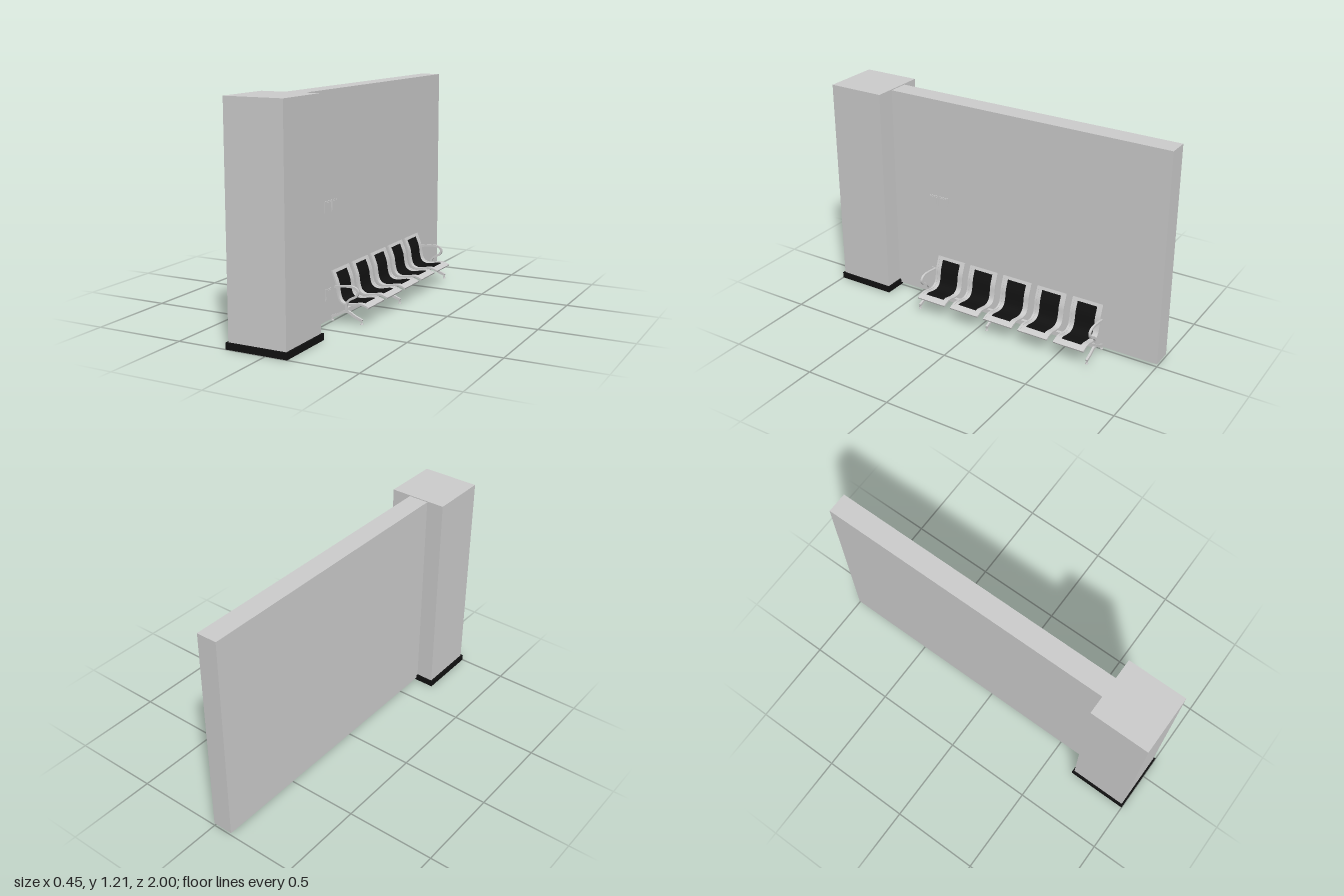
import * as THREE from 'three';
import { toCreasedNormals } from 'three/addons/utils/BufferGeometryUtils.js';

const grey = new THREE.MeshStandardMaterial({ color: 0xcccccc });
const black = new THREE.MeshStandardMaterial({ color: 0x111111 });

function add(parent, name, geometry, material = grey) {
  const mesh = new THREE.Mesh(geometry, material);
  mesh.name = name;
  parent.add(mesh);
  return mesh;
}

// Box given by its minimum and maximum corners
function box(parent, name, [x0, y0, z0], [x1, y1, z1], material) {
  const mesh = add(parent, name, new THREE.BoxGeometry(x1 - x0, y1 - y0, z1 - z0), material);
  mesh.position.set((x0 + x1) / 2, (y0 + y1) / 2, (z0 + z1) / 2);
  return mesh;
}

// Strip of even thickness following a curve in x/y, spanning z0 to z1
function ribbon(curve, from, to, thickness, z0, z1, steps = 28) {
  const upper = [], lower = [];
  for (let i = 0; i <= steps; i++) {
    const t = from + (to - from) * i / steps;
    const p = curve.getPointAt(t), d = curve.getTangentAt(t);
    const n = new THREE.Vector2(-d.y, d.x).multiplyScalar(thickness / 2);
    upper.push(p.clone().add(n));
    lower.unshift(p.clone().sub(n));
  }
  const shape = new THREE.Shape([...upper, ...lower]);
  const g = new THREE.ExtrudeGeometry(shape, { depth: z1 - z0, bevelEnabled: false });
  g.translate(0, 0, z0);
  return toCreasedNormals(g, 0.6);
}

const spline = (points) => new THREE.SplineCurve(points.map(([x, y]) => new THREE.Vector2(x, y)));

// Side profile of a seat shell, from the top of the back to the front lip
const seatCurve = spline([
  [0.006, 0.275], [0.016, 0.25], [0.033, 0.205], [0.04, 0.16], [0.052, 0.122],
  [0.08, 0.104], [0.12, 0.106], [0.165, 0.115], [0.195, 0.11], [0.22, 0.1],
]);

function makeSeat() {
  const seat = new THREE.Group();
  seat.name = 'seat';
  const half = 0.09, inner = 0.058;
  add(seat, 'meshPanel', ribbon(seatCurve, 0.04, 0.9, 0.003, -inner, inner), black);
  for (const s of [-1, 1]) {
    const span = (a, b) => [Math.min(s * a, s * b), Math.max(s * a, s * b)];
    add(seat, 'sideFrame', ribbon(seatCurve, 0.02, 0.98, 0.005, ...span(inner, half - 0.012)));
    add(seat, 'sideRail', ribbon(seatCurve, 0, 1, 0.009, ...span(half - 0.012, half)));
  }
  add(seat, 'topBar', ribbon(seatCurve, 0, 0.05, 0.008, -half + 0.012, half - 0.012, 4));
  add(seat, 'frontLip', ribbon(seatCurve, 0.89, 1, 0.008, -half + 0.012, half - 0.012, 6));
  // Bracket joining the shell to the beam
  box(seat, 'seatBracket', [0.075, 0.088, -0.05], [0.13, 0.1, 0.05]);
  return seat;
}

const armCurve = spline([
  [0.028, 0.195], [0.075, 0.203], [0.125, 0.206], [0.156, 0.197], [0.165, 0.176],
  [0.15, 0.154], [0.118, 0.137], [0.1, 0.112], [0.1, 0.075],
]);
const legCurve = spline([[0.012, 0.034], [0.05, 0.05], [0.1, 0.073], [0.15, 0.05], [0.19, 0.034]]);

function makeLeg() {
  const leg = new THREE.Group();
  leg.name = 'leg';
  add(leg, 'legSpread', ribbon(legCurve, 0, 1, 0.014, -0.006, 0.006));
  for (const x of [0.016, 0.187]) {
    add(leg, 'footStem', new THREE.CylinderGeometry(0.004, 0.004, 0.018, 12)).position.set(x, 0.026, 0);
    add(leg, 'footPad', new THREE.CylinderGeometry(0.007, 0.009, 0.006, 16)).position.set(x, 0.017, 0);
  }
  return leg;
}

function makeBench() {
  const bench = new THREE.Group();
  bench.name = 'bench';
  box(bench, 'beam', [0.093, 0.068, -0.69], [0.11, 0.094, 0.38]);
  for (let i = 0; i < 5; i++) {
    const seat = makeSeat();
    seat.position.z = 0.28 - i * 0.2175;
    bench.add(seat);
  }
  for (const z of [0.38, -0.068, -0.686]) {
    const leg = makeLeg();
    leg.position.z = z;
    bench.add(leg);
  }
  for (const z of [0.38, -0.686]) {
    add(bench, 'armrest', ribbon(armCurve, 0, 1, 0.012, -0.006, 0.006, 40)).position.z = z;
  }
  return bench;
}

// Wall plate with a slightly raised centre
function makePlate(name, y, z) {
  const plate = new THREE.Group();
  plate.name = name;
  box(plate, 'plateFrame', [-0.002, y - 0.03, z - 0.03], [0.004, y + 0.03, z + 0.03]);
  box(plate, 'plateCentre', [0, y - 0.023, z - 0.023], [0.006, y + 0.023, z + 0.023]);
  return plate;
}

export function createModel() {
  const model = new THREE.Group();
  model.name = 'waitingArea';
  box(model, 'wall', [-0.115, 0.015, -1], [0, 1.21, 0.67]);
  box(model, 'column', [-0.215, 0.03, 0.664], [0.11, 1.215, 0.99]);
  box(model, 'columnPlinth', [-0.225, 0, 0.655], [0.12, 0.035, 1], black);
  model.add(
    makePlate('lightSwitch', 0.615, 0.4),
    makePlate('lightSwitch', 0.615, 0.33),
    makePlate('wallSocket', 0.155, 0.4),
    makeBench(),
  );
  return model;
}
